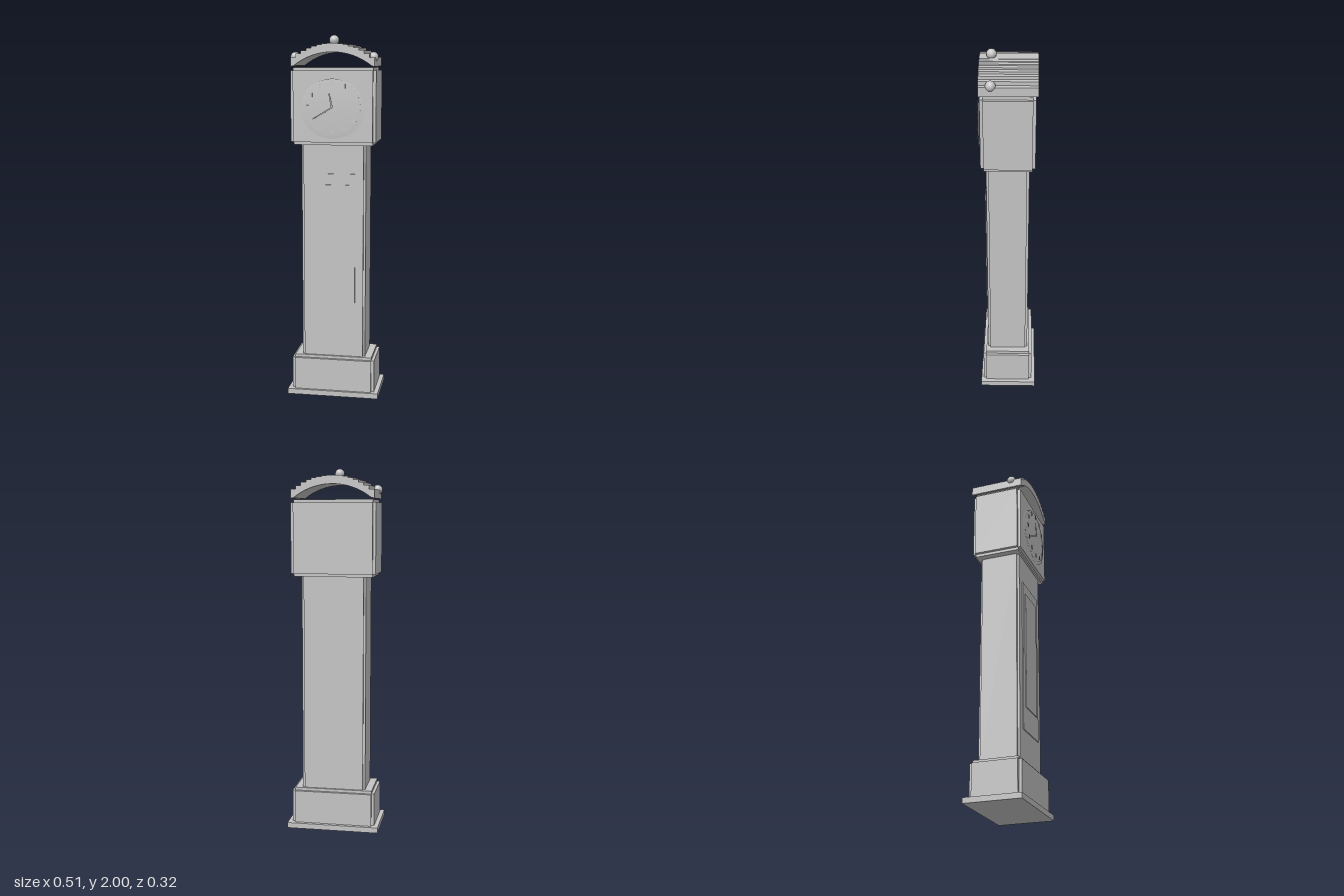
import * as THREE from 'three';

const grey = new THREE.MeshStandardMaterial({ color: 0xc4c4c4 });
grey.name = 'plain grey';

function add(parent, name, geometry, x = 0, y = 0, z = 0) {
  const mesh = new THREE.Mesh(geometry, grey);
  mesh.name = name;
  mesh.position.set(x, y, z);
  parent.add(mesh);
  return mesh;
}

// Box given by half width and its y and z ranges
function slab(parent, name, halfX, y0, y1, z0, z1) {
  return add(parent, name, new THREE.BoxGeometry(halfX * 2, y1 - y0, z1 - z0),
    0, (y0 + y1) / 2, (z0 + z1) / 2);
}

// Case block with notched edges: three boxes, each reaching out along one axis
function notchedBlock(parent, name, halfX, y0, y1, z0, z1, s) {
  const block = new THREE.Group();
  block.name = name;
  slab(block, name + 'Sides', halfX, y0 + s, y1 - s, z0 + s, z1 - s);
  slab(block, name + 'Ends', halfX - s, y0, y1, z0 + s, z1 - s);
  slab(block, name + 'FrontAndBack', halfX - s, y0 + s, y1 - s, z0, z1);
  parent.add(block);
}

// Softly shaded disc facing +z
function disc(parent, name, r, depth, y, z) {
  const profile = [[0, 0], [r, 0], [r, depth], [0, depth]].map(p => new THREE.Vector2(...p));
  return add(parent, name, new THREE.LatheGeometry(profile, 40).rotateX(Math.PI / 2), 0, y, z);
}

// Arched roof: stepped on top, smoothly curved underneath
function roofGeometry() {
  const half = 0.226, steps = 16, w = 2 * half / steps, R = 0.34;
  const arc = x => Math.sqrt(R * R - x * x) - R;
  const shape = new THREE.Shape();
  shape.moveTo(-half, 1.835);
  for (let i = 0; i < steps; i++) {
    const x = -half + i * w;
    const top = 1.957 + arc(x + w / 2);
    shape.lineTo(x, top);
    shape.lineTo(x + w, top);
  }
  shape.lineTo(half, 1.835);
  for (let i = 0; i <= 20; i++) {
    const x = 0.21 - 0.021 * i;
    shape.lineTo(x, Math.max(1.835, 1.911 + arc(x)));
  }
  return new THREE.ExtrudeGeometry(shape, { depth: 0.302, bevelEnabled: false });
}

// Thin tapered hand from the dial centre to (dx, dy)
function hand(parent, name, dx, dy, width) {
  const length = Math.hypot(dx, dy);
  const shape = new THREE.Shape();
  shape.moveTo(-width / 2, 0);
  shape.lineTo(width / 2, 0);
  shape.lineTo(width / 3, length);
  shape.lineTo(-width / 3, length);
  const geometry = new THREE.ExtrudeGeometry(shape, { depth: 0.002, bevelEnabled: false });
  add(parent, name, geometry, 0, 1.62, 0.16).rotation.z = Math.atan2(-dx, dy);
}

export function createModel() {
  const clock = new THREE.Group();
  clock.name = 'longcaseClock';

  // Case
  slab(clock, 'basePlate', 0.256, 0, 0.03, -0.163, 0.152);
  notchedBlock(clock, 'plinth', 0.232, 0.014, 0.228, -0.143, 0.138, 0.016);
  notchedBlock(clock, 'trunk', 0.177, 0.216, 1.43, -0.116, 0.111, 0.012);
  notchedBlock(clock, 'hood', 0.232, 1.416, 1.83, -0.146, 0.138, 0.016);

  // Trunk door
  slab(clock, 'door', 0.12, 0.4, 1.26, 0.105, 0.116);
  slab(clock, 'doorPanel', 0.088, 0.53, 1.2, 0.11, 0.121);

  // Dial
  disc(clock, 'dialSurround', 0.172, 0.015, 1.612, 0.128).scale.y = 0.93;
  disc(clock, 'dial', 0.152, 0.008, 1.62, 0.141);
  for (let i = 0; i < 12; i++) {
    const a = i * Math.PI / 6;
    add(clock, 'hourMark', new THREE.BoxGeometry(0.013, 0.022, 0.002),
      0.13 * Math.sin(a), 1.62 + 0.13 * Math.cos(a), 0.155);
  }
  hand(clock, 'minuteHand', -0.105, -0.062, 0.008);
  hand(clock, 'hourHand', -0.015, 0.075, 0.01);

  // Roof and finials
  add(clock, 'archedRoof', roofGeometry(), 0, 0, -0.157);
  for (const [x, y] of [[-0.212, 1.885], [0, 1.973], [0.212, 1.885]]) {
    add(clock, 'finial', new THREE.SphereGeometry(0.027, 12, 8), x, y, 0.083);
  }
  return clock;
}
